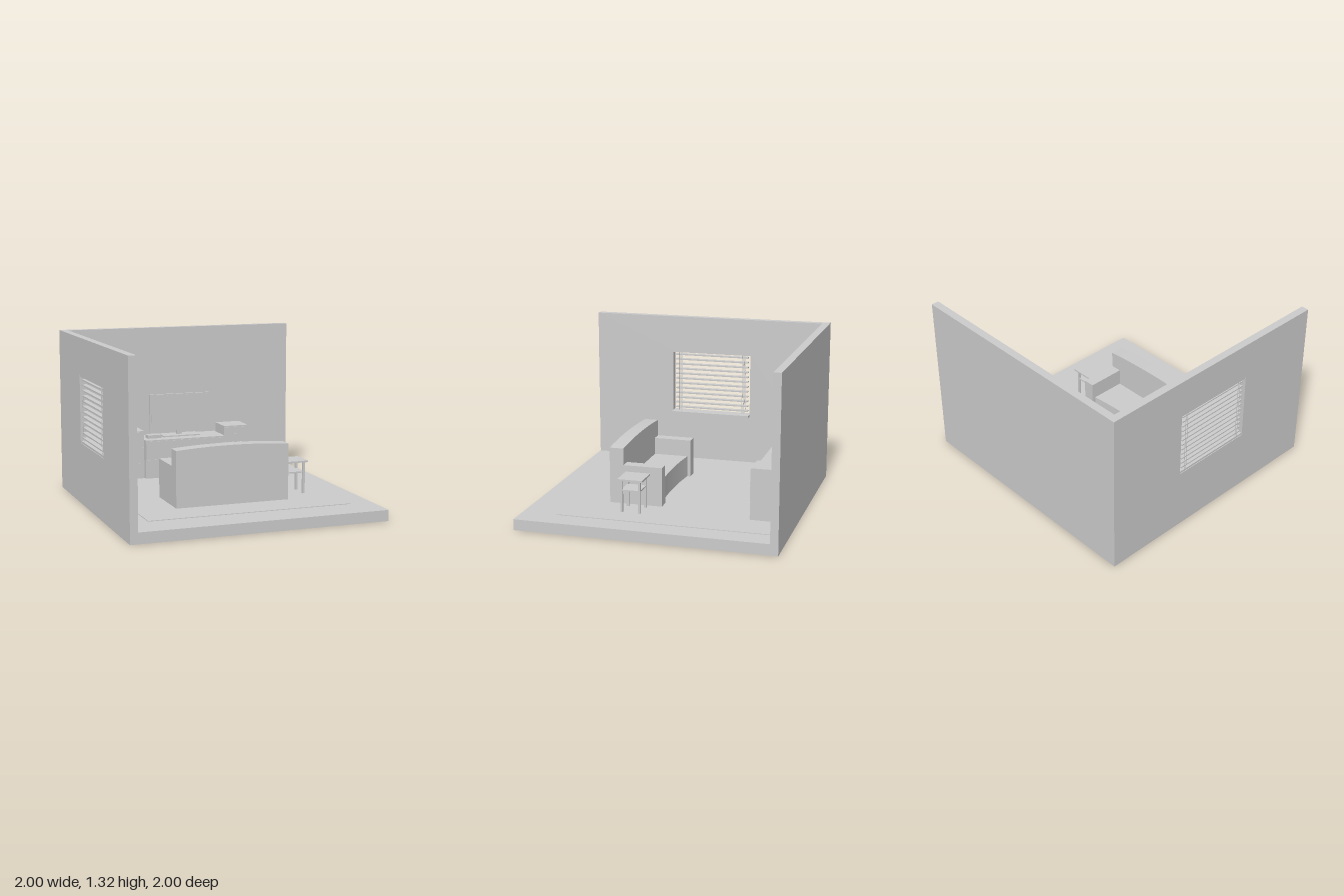
import * as THREE from 'three';

const grey = new THREE.MeshStandardMaterial({ color: 0xcccccc, flatShading: true });

// Box given by its extents on each axis
function box(parent, name, x0, x1, y0, y1, z0, z1) {
  const m = new THREE.Mesh(new THREE.BoxGeometry(x1 - x0, y1 - y0, z1 - z0), grey);
  m.position.set((x0 + x1) / 2, (y0 + y1) / 2, (z0 + z1) / 2);
  m.name = name;
  parent.add(m);
  return m;
}

function extrude(parent, name, shape, depth) {
  const m = new THREE.Mesh(
    new THREE.ExtrudeGeometry(shape, { depth, bevelEnabled: false, curveSegments: 10 }), grey);
  m.name = name;
  parent.add(m);
  return m;
}

function group(parent, name) {
  const g = new THREE.Group();
  g.name = name;
  parent.add(g);
  return g;
}

function polygon(points) {
  return new THREE.Shape(points.map(([x, y]) => new THREE.Vector2(x, y)));
}

// Drawer cabinet: body, evenly stacked drawer fronts, bar handles on two posts
function cabinet(parent, name, x0, x1, top, z0, z1, drawers, handleWidth) {
  const g = group(parent, name);
  const bottom = 0.088, front = z1 - 0.004, cx = (x0 + x1) / 2, h = handleWidth / 2;
  box(g, 'cabinetBody', x0, x1, bottom, top, z0, front);
  const step = (top - bottom - 0.014) / drawers;
  for (let i = 0; i < drawers; i++) {
    const y = bottom + 0.007 + i * step, cy = y + step / 2;
    box(g, 'drawerFront', x0 + 0.006, x1 - 0.006, y + 0.004, y + step - 0.004, front, z1);
    box(g, 'drawerHandle', cx - h, cx + h, cy - 0.006, cy + 0.006, z1 + 0.005, z1 + 0.011);
    for (const s of [-1, 1]) {
      const px = cx + s * h * 0.6;
      box(g, 'handlePost', px - 0.004, px + 0.004, cy - 0.004, cy + 0.004, z1, z1 + 0.005);
    }
  }
}

function buildRoom(root) {
  box(root, 'floor', -1, 1, 0, 0.085, -1, 1);
  box(root, 'backWall', -0.94, 1, 0.085, 1.315, -1, -0.94);

  // Side wall drawn in z and y, with the window opening
  const wall = polygon([[-1, 0.085], [1, 0.085], [1, 1.315], [-1, 1.315]]);
  wall.holes.push(new THREE.Path(
    [[-0.342, 0.487], [-0.342, 1.027], [0.328, 1.027], [0.328, 0.487]]
      .map(([z, y]) => new THREE.Vector2(z, y))));
  const side = extrude(root, 'windowWall', wall, 0.06);
  side.rotation.y = -Math.PI / 2;
  side.position.x = -0.94;

  box(root, 'rug', -0.785, 0.818, 0.085, 0.09, -0.932, 0.727);
}

function buildBlind(root) {
  const g = group(root, 'windowBlind');
  box(g, 'windowSill', -0.995, -0.885, 0.487, 0.503, -0.342, 0.328);
  box(g, 'headRail', -0.995, -0.943, 1.008, 1.027, -0.342, 0.328);
  for (let i = 0; i < 12; i++) {
    const y = 0.528 + i * 0.0418;
    box(g, 'slat', -0.99, -0.95, y - 0.005, y + 0.005, -0.32, 0.31);
  }
  for (const z of [-0.29, -0.272, 0.26, 0.278])
    for (const x of [-0.991, -0.949])
      box(g, 'blindCord', x - 0.001, x + 0.001, 0.503, 1.008, z - 0.002, z + 0.002);
}

function buildShelves(root) {
  // Triangular corner shelves with blunt tips
  const tri = polygon([[-0.94, 0.94], [-0.94, 0.773], [-0.937, 0.773], [-0.773, 0.937], [-0.773, 0.94]]);
  for (const y of [0.42, 0.656, 0.882]) {
    const shelf = extrude(root, 'cornerShelf', tri, 0.013);
    shelf.rotation.x = -Math.PI / 2;
    shelf.position.y = y;
  }
}

function buildMedia(root) {
  cabinet(root, 'leftTower', -0.59, -0.377, 0.487, -0.905, -0.688, 3, 0.034);
  cabinet(root, 'rightTower', 0.33, 0.543, 0.487, -0.905, -0.688, 3, 0.034);
  cabinet(root, 'mediaUnit', -0.37, 0.326, 0.41, -0.927, -0.66, 2, 0.07);

  // Television on its stand
  const tv = group(root, 'television');
  box(tv, 'standBase', -0.183, 0.14, 0.41, 0.42, -0.905, -0.765);
  box(tv, 'standNeck', -0.045, 0.002, 0.42, 0.51, -0.85, -0.828);
  box(tv, 'screenCasing', -0.283, 0.24, 0.455, 0.765, -0.845, -0.823);
  box(tv, 'screen', -0.273, 0.23, 0.467, 0.755, -0.823, -0.821);
  box(tv, 'rearHousing', -0.14, 0.097, 0.5, 0.652, -0.873, -0.845);

  // Small player with two front buttons
  const player = group(root, 'player');
  box(player, 'playerBody', -0.327, -0.21, 0.41, 0.438, -0.815, -0.742);
  for (const x of [-0.3, -0.235])
    box(player, 'playerButton', x - 0.008, x + 0.008, 0.419, 0.429, -0.742, -0.736);
}

function buildSofa(root) {
  const g = group(root, 'sofa');
  const x0 = -0.475, x1 = 0.43, mid = (x0 + x1) / 2, base = 0.09;

  // Backrest with a gently arched top
  const back = new THREE.Shape();
  back.moveTo(x0, base);
  back.lineTo(x1, base);
  back.lineTo(x1, 0.526);
  back.quadraticCurveTo(mid, 0.564, x0, 0.526);
  back.closePath();
  extrude(g, 'backrest', back, 0.11).position.z = 0.327;

  box(g, 'rightArm', x0, -0.385, base, 0.395, 0.022, 0.327);
  box(g, 'leftArm', 0.34, x1, base, 0.395, 0.022, 0.327);

  // Seat with a slightly hollow front edge, drawn in x and -z
  const seat = new THREE.Shape();
  seat.moveTo(-0.385, -0.327);
  seat.lineTo(0.34, -0.327);
  seat.lineTo(0.34, -0.05);
  seat.quadraticCurveTo(mid, -0.088, -0.385, -0.05);
  seat.closePath();
  const s = extrude(g, 'seat', seat, 0.17);
  s.rotation.x = -Math.PI / 2;
  s.position.y = base;
}

function buildTable(root) {
  const g = group(root, 'sideTable');
  box(g, 'tableTop', 0.453, 0.655, 0.34, 0.353, 0.107, 0.302);
  box(g, 'lowerShelf', 0.475, 0.633, 0.255, 0.266, 0.13, 0.282);
  for (const x of [0.479, 0.629])
    for (const z of [0.136, 0.276])
      box(g, 'tableLeg', x - 0.009, x + 0.009, 0.09, 0.34, z - 0.009, z + 0.009);
}

export function createModel() {
  const root = new THREE.Group();
  root.name = 'livingRoom';
  buildRoom(root);
  buildBlind(root);
  buildShelves(root);
  buildMedia(root);
  buildSofa(root);
  buildTable(root);
  return root;
}
